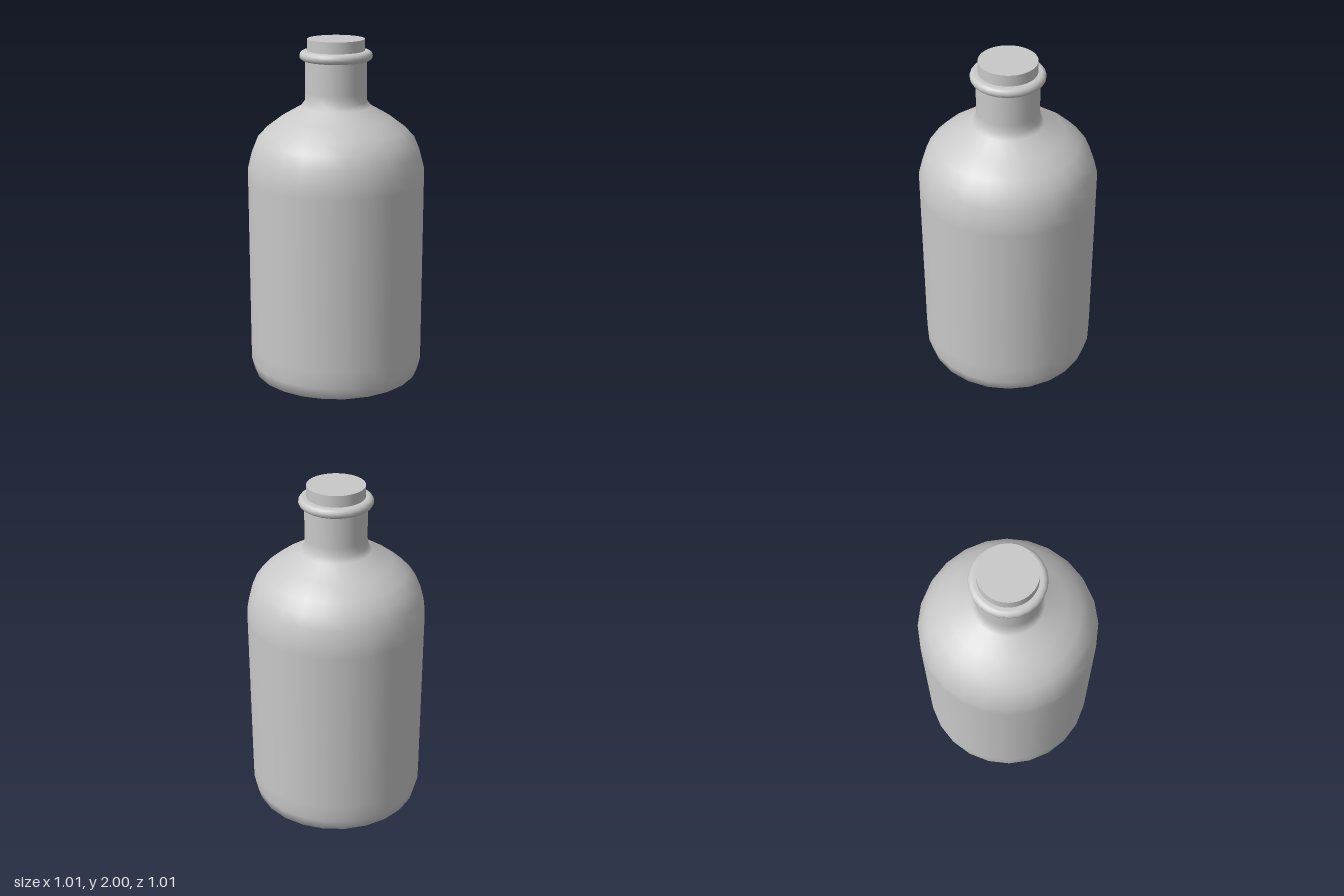
import * as THREE from 'three';

const SIDES = 24;

// Revolve a short [radius, height] profile, listed bottom to top for outward faces
function lathe(name, points, material, sides = SIDES) {
  const profile = points.map(([r, y]) => new THREE.Vector2(r, y));
  const mesh = new THREE.Mesh(new THREE.LatheGeometry(profile, sides), material);
  mesh.name = name;
  return mesh;
}

export function createModel() {
  const bottle = new THREE.Group();
  bottle.name = 'bottle';
  const grey = new THREE.MeshStandardMaterial({ color: 0xc8c8c8 });
  grey.name = 'light grey';

  // Body with rounded heel, straight wall, curved shoulder and neck
  bottle.add(lathe('body', [
    [0.405, 0], [0.435, 0.005], [0.487, 0.03], [0.506, 0.1], [0.507, 0.2],
    [0.507, 1.2], [0.506, 1.275], [0.484, 1.36], [0.455, 1.43], [0.4, 1.49],
    [0.317, 1.553], [0.2, 1.62], [0.178, 1.65], [0.175, 1.7], [0.175, 1.9],
  ], grey));

  // Hollow dome under the base
  bottle.add(lathe('basePunt', [
    [0, 0.15], [0.12, 0.14], [0.24, 0.11], [0.34, 0.06], [0.405, 0],
  ], grey));

  // Rounded lip around the mouth
  const lip = [];
  for (let i = 0; i <= 8; i++) {
    const a = -Math.PI / 2 + (i / 8) * Math.PI;
    lip.push([0.178 + 0.029 * Math.cos(a), 1.907 + 0.028 * Math.sin(a)]);
  }
  lip.push([0.15, 1.935]);
  lip.unshift([0.165, 1.879]);
  bottle.add(lathe('lip', lip, grey));

  // Stopper set in the mouth
  const stopper = new THREE.Mesh(new THREE.CylinderGeometry(0.162, 0.162, 0.14, 48), grey);
  stopper.name = 'stopper';
  stopper.position.y = 1.93;
  bottle.add(stopper);

  return bottle;
}
